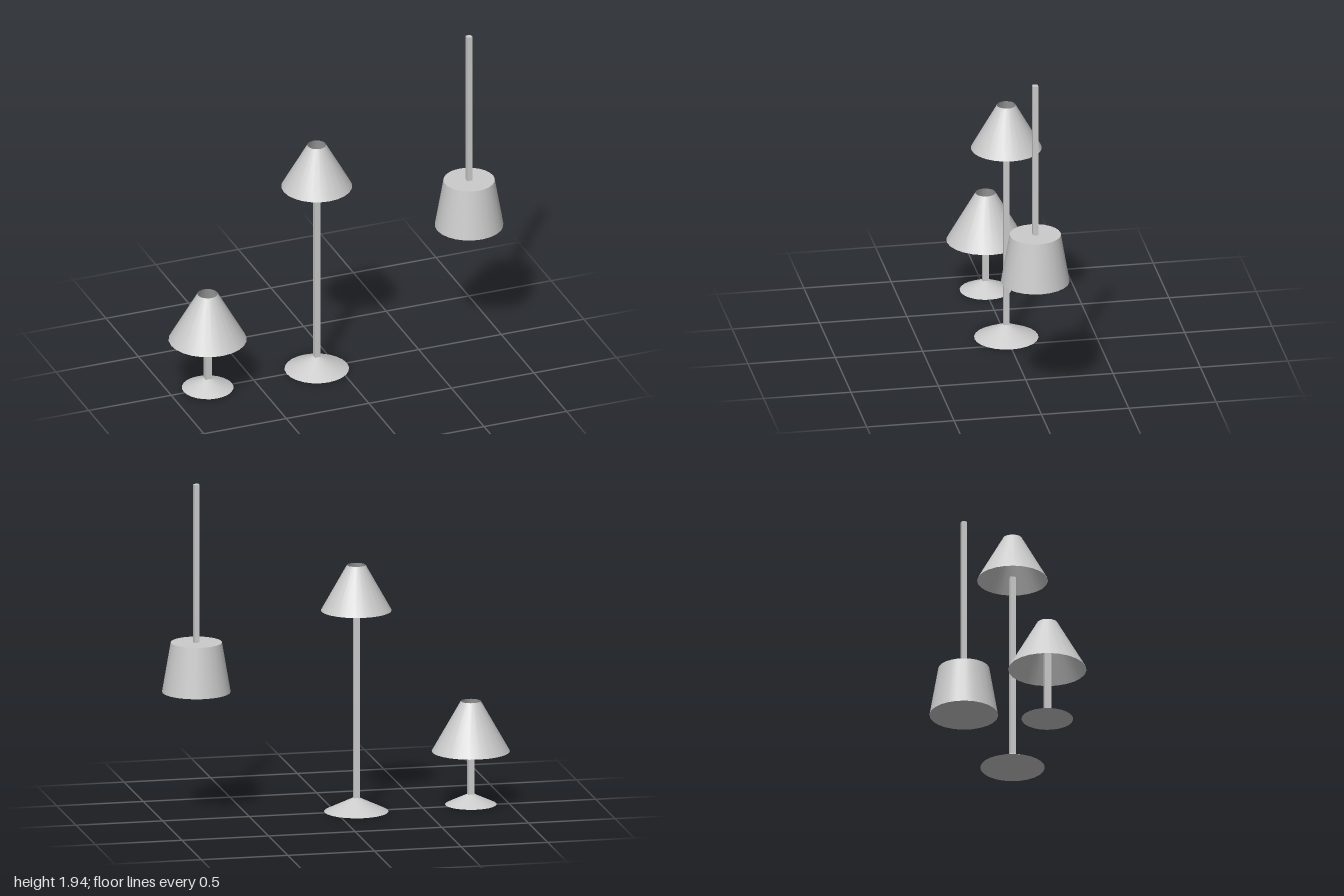
import * as THREE from 'three';

const SIDES = 24;
const solid = new THREE.MeshStandardMaterial({ color: 0xcccccc });
const thin = new THREE.MeshStandardMaterial({ color: 0xcccccc, side: THREE.DoubleSide });

// Tapered round part between two heights
function taper(name, rTop, rBottom, y0, y1, open = false) {
  const geo = new THREE.CylinderGeometry(rTop, rBottom, y1 - y0, SIDES, 1, open);
  const mesh = new THREE.Mesh(geo, open ? thin : solid);
  mesh.name = name;
  mesh.position.y = (y0 + y1) / 2;
  return mesh;
}

// Square pole between two heights
function pole(name, width, y0, y1) {
  const mesh = new THREE.Mesh(new THREE.BoxGeometry(width, y1 - y0, width), solid);
  mesh.name = name;
  mesh.position.y = (y0 + y1) / 2;
  return mesh;
}

function lamp(name, x, ...parts) {
  const group = new THREE.Group();
  group.name = name;
  group.position.x = x;
  group.add(...parts);
  return group;
}

export function createModel() {
  const model = new THREE.Group();
  model.name = 'lampSet';
  model.add(
    // Short lamp with open shade
    lamp('tableLamp', -0.779,
      taper('base', 0, 0.146, 0.008, 0.077),
      pole('pole', 0.036, 0.04, 0.42),
      taper('shade', 0.057, 0.221, 0.315, 0.604, true)),
    // Tall lamp with open shade
    lamp('floorLamp', -0.118,
      taper('base', 0, 0.182, 0, 0.088),
      pole('pole', 0.033, 0.04, 1.18),
      taper('shade', 0.053, 0.2, 1.162, 1.424, true)),
    // Hanging lamp with closed shade
    lamp('pendantLamp', 0.805,
      pole('rod', 0.03, 1.0, 1.936),
      taper('shade', 0.145, 0.194, 0.737, 1.023))
  );
  return model;
}
